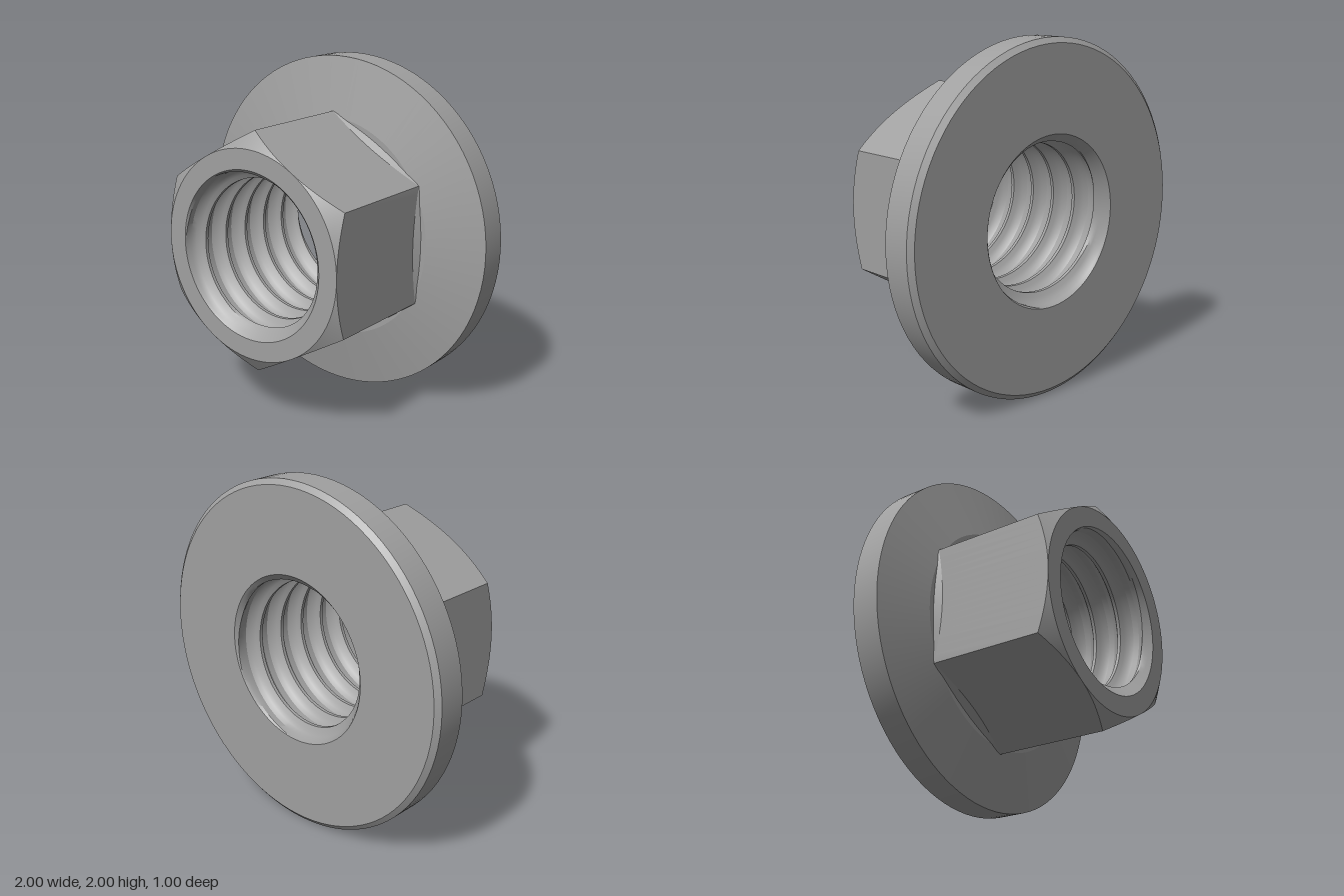
import * as THREE from 'three';
import { toCreasedNormals } from 'three/addons/utils/BufferGeometryUtils.js';

const SEG = 96;
const TAU = Math.PI * 2;
const BORE = 0.485; // bore mouth radius at both faces

// Skin a stack of rows around the z axis; point(row, angle) returns [radius, z]
function skin(rows, point, crease) {
  const pos = [], index = [];
  for (let j = 0; j < rows; j++) {
    for (let i = 0; i <= SEG; i++) {
      const a = (i / SEG) * TAU;
      const [r, z] = point(j, a);
      pos.push(r * Math.cos(a), r * Math.sin(a), z);
    }
  }
  const w = SEG + 1;
  for (let j = 0; j < rows - 1; j++) {
    for (let i = 0; i < SEG; i++) {
      const a = j * w + i, b = a + 1, c = b + w, d = a + w;
      index.push(a, b, c, a, c, d);
    }
  }
  const geo = new THREE.BufferGeometry();
  geo.setAttribute('position', new THREE.Float32BufferAttribute(pos, 3));
  geo.setIndex(index);
  return toCreasedNormals(geo, crease);
}

// Washer flange: chamfered back edge, straight rim, shallow cone in front
function flangeGeometry() {
  const profile = [
    [BORE, -0.5], [0.97, -0.5], [1, -0.475], [1, -0.31], [0.66, -0.238], [0.56, -0.238],
  ].map(([r, z]) => new THREE.Vector2(r, z));
  const geo = new THREE.LatheGeometry(profile, SEG);
  geo.rotateX(Math.PI / 2);
  return toCreasedNormals(geo, 0.15);
}

// Hexagonal body: bulged foot, flats, conical front chamfer and front face
function hexGeometry() {
  const step = Math.PI / 3;
  return skin(5, (row, angle) => {
    const a = angle - Math.round(angle / step) * step; // angle from middle of flat
    const r = 0.6 / Math.cos(a);
    const bulge = 1 - (a / (step / 2)) ** 2;
    return [
      [r + 0.03 * bulge, -0.242],
      [r, -0.24 + 0.04 * bulge],
      [r, 0.5 - (r - 0.6) * 0.7],
      [0.6, 0.5],
      [BORE, 0.5],
    ][row];
  }, 0.4);
}

// Bore: right-hand helical thread that runs out into a chamfer at each end
function threadGeometry() {
  const pitch = 0.167;
  const profile = [
    [0, 0.415], [0.12, 0.415], [0.2, 0.438], [0.3, 0.46], [0.45, 0.475],
    [0.67, 0.475], [0.82, 0.46], [0.92, 0.438],
  ];
  const n = profile.length;
  const turns = Math.ceil(1 / pitch) + 2;
  return skin(turns * n, (row, angle) => {
    const k = turns * n - 1 - row; // front to back, so faces point inward
    const [f, radius] = profile[k % n];
    const raw = -0.5 + (Math.floor(k / n) + f - 1.2 + angle / TAU) * pitch;
    const z = THREE.MathUtils.clamp(raw, -0.5, 0.5);
    return [Math.max(Math.abs(z) === 0.5 ? BORE : radius, BORE - 0.5 + Math.abs(z)), z];
  }, 0.5);
}

export function createModel() {
  const steel = new THREE.MeshStandardMaterial({ color: 0xa0a0a0 });
  steel.name = 'steel grey';

  const nut = new THREE.Group();
  nut.name = 'flangeNut';
  const parts = {
    flange: flangeGeometry(),
    hexBody: hexGeometry(),
    threadedBore: threadGeometry(),
  };
  for (const [name, geometry] of Object.entries(parts)) {
    const mesh = new THREE.Mesh(geometry, steel);
    mesh.name = name;
    nut.add(mesh);
  }
  nut.position.y = 1;

  const model = new THREE.Group();
  model.name = 'model';
  model.add(nut);
  return model;
}
